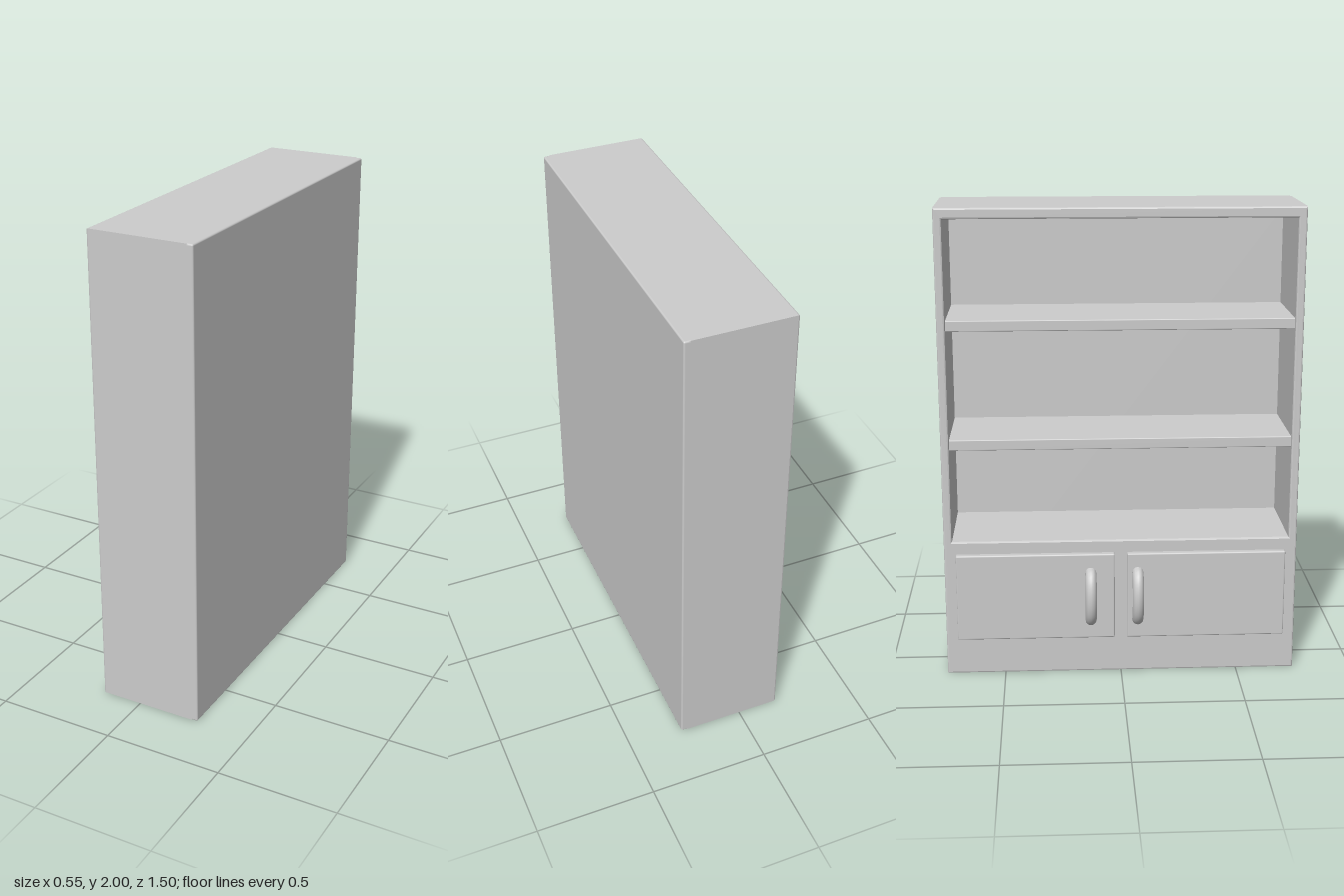
import * as THREE from 'three';
import { RoundedBoxGeometry } from 'three/addons/geometries/RoundedBoxGeometry.js';

export function createModel() {
  const group = new THREE.Group();
  const grey = new THREE.MeshStandardMaterial({ color: 0xcccccc });
  grey.name = 'light grey';

  const add = (name, geometry) => {
    const mesh = new THREE.Mesh(geometry, grey);
    mesh.name = name;
    group.add(mesh);
    return mesh;
  };

  // Softly rounded block given by its limits on each axis
  const block = (name, [x0, x1], [y0, y1], [z0, z1], r) => {
    const geometry = new RoundedBoxGeometry(x1 - x0, y1 - y0, z1 - z0, 2, r);
    geometry.translate((x0 + x1) / 2, (y0 + y1) / 2, (z0 + z1) / 2);
    return add(name, geometry);
  };

  // Rectangle outline, drawn as a shape or a hole
  const rect = (path, x0, x1, y0, y1) => {
    path.moveTo(x0, y0);
    path.lineTo(x1, y0);
    path.lineTo(x1, y1);
    path.lineTo(x0, y1);
    path.closePath();
    return path;
  };

  // Cabinet frame: solid base below, one tall opening facing -x
  const bevel = 0.007;
  const outline = rect(new THREE.Shape(), -0.75, 0.75, 0, 2);
  outline.holes.push(rect(new THREE.Path(), -0.715, 0.715, 0.6, 1.955));
  const frame = new THREE.ExtrudeGeometry(outline, {
    depth: 0.425 - 2 * bevel,
    bevelSize: bevel,
    bevelThickness: bevel,
    bevelOffset: -bevel,
    bevelSegments: 2,
  });
  frame.rotateY(-Math.PI / 2);
  frame.translate(0.25 - bevel, 0, 0);
  add('cabinetFrame', frame);

  // Back panel closing the frame
  block('backPanel', [0.225, 0.27], [0, 2], [-0.75, 0.75], 0.007);

  // Two shelves set slightly behind the front edge
  for (const top of [1.04, 1.543]) {
    block('shelf', [-0.155, 0.235], [top - 0.045, top], [-0.725, 0.725], 0.004);
  }

  // Doors, each with a bowed handle
  const doors = [
    { z: [-0.7, -0.028], handleZ: -0.13 },
    { z: [0.025, 0.7], handleZ: 0.07 },
  ];
  for (const { z, handleZ } of doors) {
    block('door', [-0.2, -0.16], [0.165, 0.545], z, 0.006);

    const points = [];
    for (let i = 0; i <= 8; i++) {
      const a = (i / 8) * Math.PI;
      points.push(new THREE.Vector3(
        -0.193 - 0.058 * Math.sin(a), 0.355 + 0.108 * Math.cos(a), handleZ));
    }
    add('handle', new THREE.TubeGeometry(
      new THREE.CatmullRomCurve3(points), 20, 0.024, 12));
  }

  return group;
}
